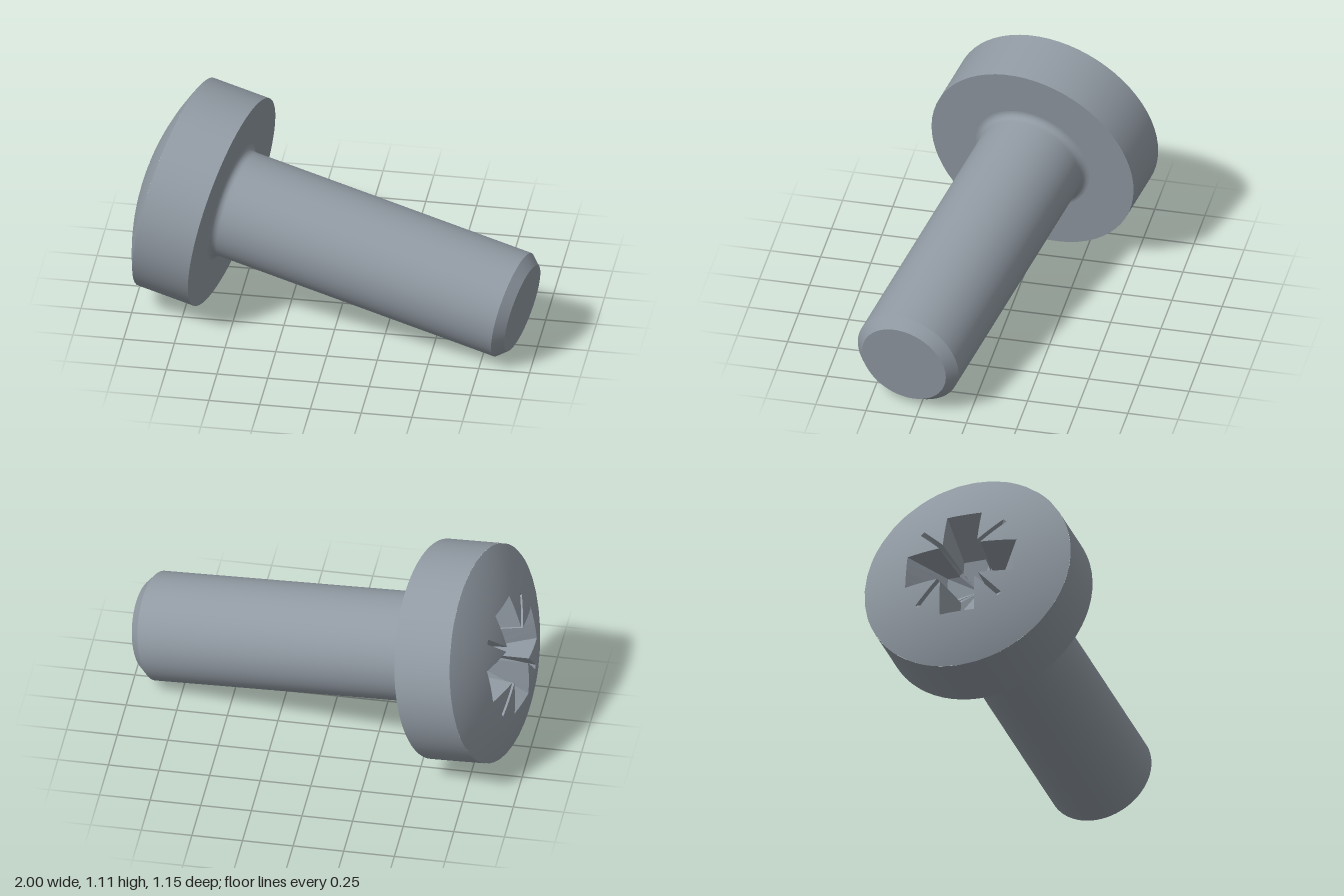
import * as THREE from 'three';

const HEAD_R = 0.538, RIM_Y = 0.295, DOME_H = 0.13, SHANK_R = 0.268, FILLET = 0.035;
const SPHERE_R = (HEAD_R ** 2 + DOME_H ** 2) / (2 * DOME_H);
const SPHERE_Y = RIM_Y + DOME_H - SPHERE_R;
const FLOOR_Y = RIM_Y + DOME_H - 0.24;

const domeY = (x, z) => SPHERE_Y + Math.sqrt(SPHERE_R ** 2 - x * x - z * z);

// Repeats one quadrant of an outline four times and subdivides its edges
function crossOutline(quadrant, steps) {
  const corners = [];
  for (let q = 0; q < 4; q++) {
    for (const [x, y] of quadrant) {
      corners.push(new THREE.Vector2(x, y).rotateAround(new THREE.Vector2(), q * Math.PI / 2));
    }
  }
  return corners.flatMap((a, i) => {
    const b = corners[(i + 1) % corners.length];
    return Array.from({ length: steps }, (_, k) => a.clone().lerp(b, k / steps));
  });
}

// Skins a series of closed loops, each running inside to outside
function loft(loops) {
  const n = loops[0].length, index = [];
  for (let r = 0; r < loops.length - 1; r++) {
    for (let i = 0; i < n; i++) {
      const j = (i + 1) % n, a = r * n, b = a + n;
      index.push(a + i, b + i, b + j, a + i, b + j, a + j);
    }
  }
  const geometry = new THREE.BufferGeometry().setFromPoints(loops.flat());
  geometry.setIndex(index);
  return geometry;
}

export function createModel() {
  const steel = new THREE.MeshStandardMaterial({ color: 0x9099a2 });
  steel.name = 'steel grey';

  const screw = new THREE.Group();
  screw.name = 'screw';
  const add = (name, geometry) => {
    const mesh = new THREE.Mesh(geometry, steel);
    mesh.name = name;
    screw.add(mesh);
  };
  const turn = (name, points) =>
    add(name, new THREE.LatheGeometry(points.map(([x, y]) => new THREE.Vector2(x, y)), 64));

  // Turned parts, from the tip up to the head
  turn('tipFace', [[0, -1.54], [0.223, -1.54]]);
  turn('tipChamfer', [[0.223, -1.54], [SHANK_R, -1.49]]);
  const shank = [[SHANK_R, -1.49], [SHANK_R, -0.06]];
  for (let i = 0; i <= 6; i++) {
    const a = i / 6 * Math.PI / 2;
    shank.push([SHANK_R + FILLET * (1 - Math.cos(a)), FILLET * (Math.sin(a) - 1)]);
  }
  turn('shankWithFillet', shank);
  turn('headUnderside', [[SHANK_R + FILLET, 0], [HEAD_R, 0]]);
  turn('headSide', [[HEAD_R, 0], [HEAD_R, RIM_Y]]);

  // Cross recess with narrow diagonal slits, at the surface and at the floor
  const slit = (along, across) => [(along + across) * Math.SQRT1_2, (along - across) * Math.SQRT1_2];
  const mouth = crossOutline([[0.285, -0.09], [0.285, 0.09], [0.107, 0.09],
    slit(0.305, 0.012), slit(0.305, -0.012), [0.09, 0.107]], 4);
  const floor = crossOutline([[0.15, -0.07], [0.15, 0.07], [0.085, 0.07],
    [0.09, 0.075], [0.075, 0.09], [0.07, 0.085]], 4);

  // Domed top around the recess
  const rows = 8;
  const domeLoops = Array.from({ length: rows + 1 }, (_, r) => mouth.map((p) => {
    const v = p.clone().setLength(THREE.MathUtils.lerp(p.length(), HEAD_R, r / rows));
    return new THREE.Vector3(v.x, domeY(v.x, v.y), -v.y);
  }));
  const dome = loft(domeLoops);
  const normals = domeLoops.flat().flatMap((v) => [v.x / SPHERE_R, (v.y - SPHERE_Y) / SPHERE_R, v.z / SPHERE_R]);
  dome.setAttribute('normal', new THREE.Float32BufferAttribute(normals, 3));
  add('headDome', dome);

  // Tapered recess walls and shallow conical floor
  const floorLoop = floor.map((p) => new THREE.Vector3(p.x, FLOOR_Y, -p.y));
  const centre = floor.map(() => new THREE.Vector3(0, FLOOR_Y - 0.05, 0));
  const recess = loft([centre, floorLoop, domeLoops[0]]).toNonIndexed();
  recess.computeVertexNormals();
  add('driveRecess', recess);

  // Lay the screw down along its tilted axis
  const up = new THREE.Vector3(-0.9626, 0.177, -0.205).normalize();
  const wing = new THREE.Vector3(0, 1, 0).addScaledVector(up, -up.y).normalize();
  const side = new THREE.Vector3().crossVectors(wing, up);
  screw.quaternion.setFromRotationMatrix(new THREE.Matrix4().makeBasis(wing, up, side));
  screw.position.set(-0.546, 0.531, 0.009);

  const model = new THREE.Group();
  model.name = 'machineScrew';
  model.add(screw);
  return model;
}
